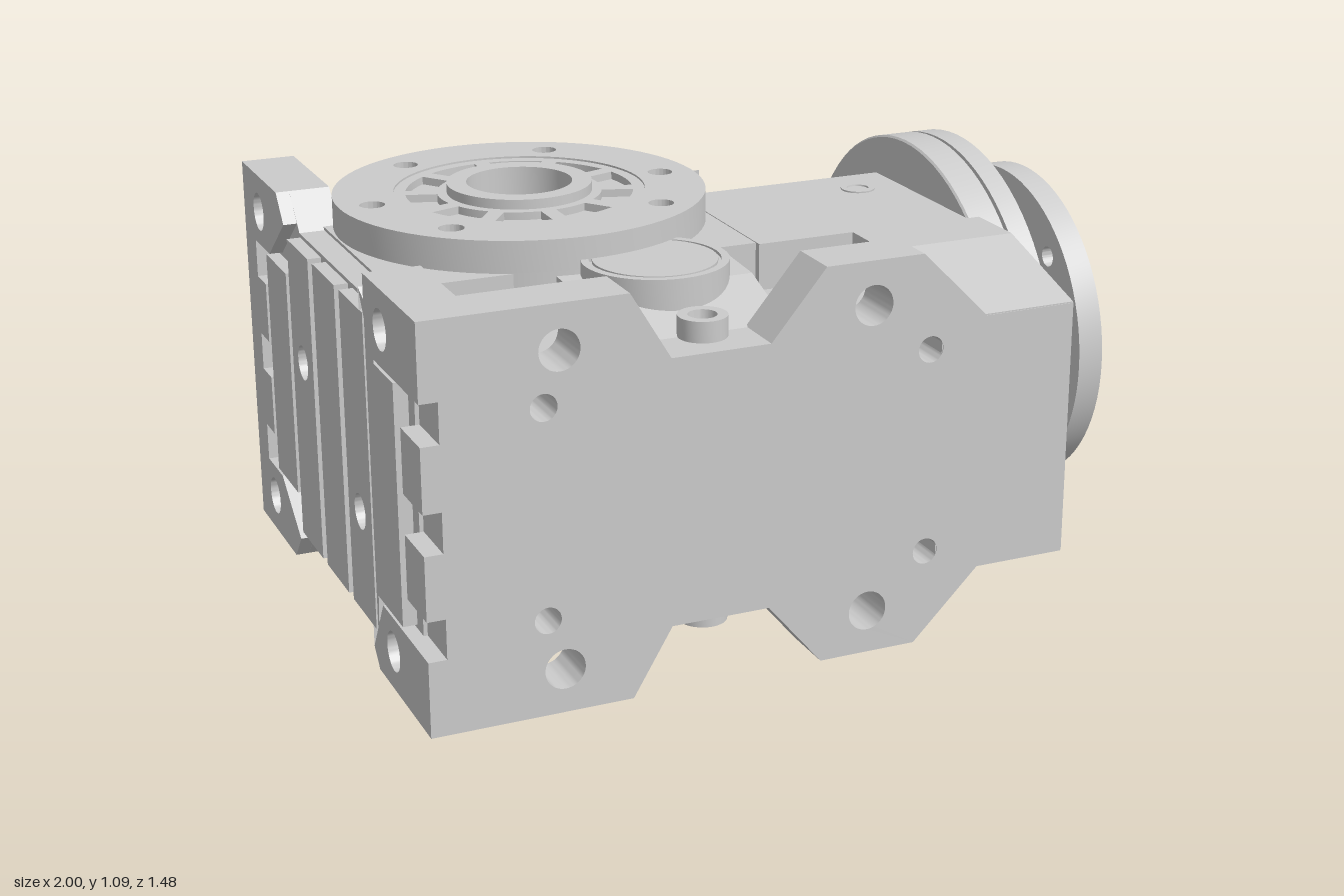
import * as THREE from 'three';
import { toCreasedNormals } from 'three/addons/utils/BufferGeometryUtils.js';

const mat = new THREE.MeshStandardMaterial({ color: 0xcccccc, side: THREE.DoubleSide });
const MID = 0.547; // height of the symmetry plane; all y values below are offsets from it

function add(parent, name, geo, crease = 0.5) {
  const m = new THREE.Mesh(toCreasedNormals(geo, crease), mat);
  m.name = name;
  parent.add(m);
  return m;
}

// close a top half outline with its mirror image below the symmetry plane
const mirrored = (pts) => pts.concat(pts.map(([a, b]) => [a, -b]).reverse());

// prism along an axis; outline is (z,y) for x, (x,z) for y, (x,y) for z; holes are [a, b, radius]
function prism(parent, name, axis, pts, from, to, holes = []) {
  const map = ([a, b]) => axis === 'x' ? [-a, b] : axis === 'y' ? [a, -b] : [a, b];
  const shape = new THREE.Shape(pts.map((p) => new THREE.Vector2(...map(p))));
  for (const h of holes) {
    shape.holes.push(new THREE.Path().absarc(...map(h), h[2], 0, Math.PI * 2));
  }
  const g = new THREE.ExtrudeGeometry(shape, { depth: to - from, bevelEnabled: false, curveSegments: 24 });
  g.translate(0, 0, from);
  if (axis === 'x') g.rotateY(Math.PI / 2);
  if (axis === 'y') g.rotateX(-Math.PI / 2);
  return add(parent, name, g);
}

// mirrored (z,y) half section run along x; the +x end is cut at a slant by skew
function bar(parent, name, half, x0, x1, skew = 0) {
  const ring = mirrored(half), n = ring.length, v = [];
  const a = ring.map(([z, y]) => [x0, y, z]);
  const b = ring.map(([z, y]) => [x1 + skew * (z - ring[0][0]), y, z]);
  for (let j = 0; j < n; j++) {
    const k = (j + 1) % n;
    v.push(...a[j], ...a[k], ...b[k], ...a[j], ...b[k], ...b[j]);
    if (j > 0 && k > 0) v.push(...b[0], ...b[j], ...b[k], ...a[0], ...a[k], ...a[j]);
  }
  const g = new THREE.BufferGeometry();
  g.setAttribute('position', new THREE.Float32BufferAttribute(v, 3));
  g.computeVertexNormals();
  return add(parent, name, g, 0.05);
}

// turned part around local z, profile points are (radius, z)
function turned(parent, name, pts, seg = 80) {
  const g = new THREE.LatheGeometry(pts.map((p) => new THREE.Vector2(...p)), seg);
  g.rotateX(Math.PI / 2);
  return add(parent, name, g);
}

// flat ring around local z with bolt holes [x, y, r]
function ringPlate(parent, name, outer, inner, z0, z1, holes) {
  const s = new THREE.Shape().absarc(0, 0, outer, 0, Math.PI * 2);
  for (const [x, y, r] of [[0, 0, inner], ...holes]) {
    s.holes.push(new THREE.Path().absarc(x, y, r, 0, Math.PI * 2));
  }
  const g = new THREE.ExtrudeGeometry(s, { depth: z1 - z0, bevelEnabled: false, curveSegments: 40 });
  g.translate(0, 0, z0);
  return add(parent, name, g);
}

// holes on a bolt circle, angles in degrees
const polar = (angles, radius, r) => angles.map((d) => {
  const a = d * Math.PI / 180;
  return [radius * Math.cos(a), radius * Math.sin(a), r];
});

// evenly spaced radial bars
function spokes(parent, name, count, r0, r1, width, z0, z1) {
  for (let i = 0; i < count; i++) {
    const g = new THREE.BoxGeometry(r1 - r0, width, z1 - z0);
    g.translate((r0 + r1) / 2, 0, (z0 + z1) / 2);
    g.rotateZ((i + 0.5) * Math.PI * 2 / count);
    add(parent, name, g);
  }
}

// group whose local z points along the given direction
function facing(parent, name, dir, x, y, z) {
  const g = new THREE.Group();
  g.name = name;
  g.position.set(x, y, z);
  if (dir === '+x') g.rotation.y = Math.PI / 2;
  if (dir === '+y') g.rotation.x = -Math.PI / 2;
  if (dir === '-y') g.rotation.x = Math.PI / 2;
  if (dir === '-z') g.rotation.y = Math.PI;
  parent.add(g);
  return g;
}

function socket(parent, dir, x, y, z, r) {
  const g = facing(parent, 'threadedSocket', dir, x, y, z);
  turned(g, 'socketRing', [[r, -0.02], [r, 0.004], [r * 0.65, 0.004], [r * 0.55, -0.02]], 24);
}

export function createModel() {
  const model = new THREE.Group();
  model.name = 'gearbox';
  const body = new THREE.Group();
  body.name = 'body';
  body.position.y = MID;
  model.add(body);

  // housing: bored core, sloping back with slanted end, and faceted input casing
  prism(body, 'housingCore', 'y', [[-0.9, -0.46], [0.05, -0.46], [0.05, 0.25], [-0.9, 0.25]],
    -0.418, 0.418, [[-0.42, -0.19, 0.3]]);
  bar(body, 'housingBack', [[-0.74, 0.3], [-0.45, 0.417]], -0.86, 0.04, 0.545);
  bar(body, 'inputCasing', [[-0.57, 0.18], [-0.36, 0.36], [-0.22, 0.42], [0.27, 0.42]], 0.04, 0.65);

  // front block: low pocket floors, raised saddle between them, sloping end
  bar(body, 'pocketFloor', [[0.24, 0.3], [0.61, 0.3]], -0.9, 0.31);
  bar(body, 'saddle', [[0.24, 0.41], [0.42, 0.4], [0.61, 0.333]], -0.5, -0.05);
  bar(body, 'housingFrontEnd', [[0.2, 0.42], [0.44, 0.42], [0.738, 0.328]], 0.3, 0.66);

  // front foot plate with notches and bolt holes
  const frontHoles = [];
  for (const s of [1, -1]) {
    frontHoles.push([-0.67, 0.39 * s, 0.05], [0.115, 0.39 * s, 0.05],
      [-0.71, 0.26 * s, 0.033], [0.27, 0.26 * s, 0.033]);
  }
  prism(body, 'frontFootPlate', 'z', mirrored([[-0.955, 0.05], [-1, 0.05], [-1, 0.21], [-0.955, 0.21],
    [-0.955, 0.31], [-1, 0.31], [-1, 0.5], [-0.5, 0.5], [-0.4, 0.333], [-0.15, 0.333], [-0.01, 0.5],
    [0.245, 0.5], [0.42, 0.325], [0.66, 0.325]]), 0.6, 0.74, frontHoles);

  // end face: wide corner feet, recessed panel and vertical pads
  const endHoles = [];
  for (const s of [1, -1]) endHoles.push([-0.59, 0.4 * s, 0.05], [0.47, 0.4 * s, 0.05]);
  prism(body, 'endPlate', 'x', mirrored([[-0.74, 0.5], [-0.4, 0.5], [-0.32, 0.41], [0.27, 0.41],
    [0.35, 0.5], [0.6, 0.5]]), -0.965, -0.86, endHoles);
  prism(body, 'backCornerFoot', 'x', mirrored([[-0.74, 0.5], [-0.4, 0.5], [-0.34, 0.43], [-0.5, 0.31],
    [-0.64, 0.31], [-0.64, 0.21], [-0.56, 0.21], [-0.56, 0.05], [-0.64, 0.05]]), -1, -0.965,
    endHoles.filter((h) => h[0] < 0));
  prism(body, 'frontCornerFoot', 'x', mirrored([[0.35, 0.5], [0.6, 0.5], [0.6, 0.31], [0.4, 0.31],
    [0.31, 0.455]]), -1, -0.965, endHoles.filter((h) => h[0] > 0));
  const padHoles = [[-0.22, 0.1, 0.045], [0.24, -0.13, 0.045]];
  for (const z of [-0.44, -0.22, 0.01, 0.24, 0.46]) {
    const top = Math.abs(z) < 0.4 ? 0.4 : 0.3;
    prism(body, 'endPad', 'x', mirrored([[z - 0.095, top], [z + 0.095, top]]), -1, -0.965,
      padHoles.filter((h) => h[0] === z));
  }

  // lifting lug
  prism(body, 'liftingLug', 'y', [[-0.05, -0.5], [0.03, -0.74], [0.28, -0.74], [0.33, -0.72], [0.37, -0.65],
    [0.43, -0.61], [0.63, -0.61], [0.63, -0.4], [0.1, -0.4]], -0.045, 0.045, [[0.235, -0.645, 0.05]]);

  // hollow output hub
  const hub = facing(body, 'outputHub', '+y', -0.42, 0, -0.19);
  const half = [[0.135, 0.52], [0.185, 0.52], [0.185, 0.475], [0.325, 0.475], [0.325, 0.42], [0.475, 0.42]];
  turned(hub, 'hubBarrel', [...half.map(([r, z]) => [r, -z]), ...half.slice().reverse(), [0.135, -0.52]]);

  for (const s of [1, -1]) {
    const dir = s > 0 ? '+y' : '-y';
    // hub face with bolt circle and cells
    const face = facing(body, 'hubFace', dir, -0.42, 0, -0.19);
    ringPlate(face, 'hubRim', 0.475, 0.32, 0.42, 0.5,
      polar([0, 60, 120, 180, 225, 315].map((d) => d * s), 0.39, 0.032));
    ringPlate(face, 'cellRing', 0.21, 0.18, 0.47, 0.495, []);
    ringPlate(face, 'cellOuterRing', 0.322, 0.29, 0.47, 0.495, []);
    spokes(face, 'cellRib', 10, 0.2, 0.3, 0.04, 0.47, 0.495);
    // round cover and oil plug
    const cap = facing(body, 'cover', dir, -0.27, 0, 0.34);
    turned(cap, 'coverDisc', [[0.18, 0.34], [0.18, 0.443], [0.16, 0.443], [0.16, 0.435], [0.152, 0.435],
      [0.152, 0.443], [0, 0.443]], 48);
    const plug = facing(body, 'oilPlug', dir, -0.27, 0, 0.62);
    turned(plug, 'plugBody', [[0.06, 0.3], [0.06, 0.385], [0.035, 0.385], [0.03, 0.34], [0, 0.34]], 32);
    socket(body, dir, 0.5, 0.42 * s, -0.09, 0.045);
    socket(body, '+x', 0.66, 0.28 * s, 0.665, 0.04);
  }
  socket(body, '+x', 0.66, 0, 0.665, 0.035);
  socket(body, '-z', -0.7, 0, -0.74, 0.05);

  // motor flange: large double disc, ribbed neck, small disc
  const input = facing(body, 'inputFlange', '+x', 0, 0, -0.07);
  turned(input, 'largeDisc', [[0, 0.625], [0.54, 0.625], [0.545, 0.63], [0.545, 0.715], [0.525, 0.715],
    [0.525, 0.735], [0, 0.735]]);
  ringPlate(input, 'largeDiscFace', 0.545, 0.1, 0.725, 0.785, polar([0, 90, 180, 270], 0.47, 0.032));
  turned(input, 'neck', [[0.17, 0.78], [0.15, 0.81], [0.15, 0.94]], 48);
  const fin = new THREE.Shape([[0.1, 0.78], [0.33, 0.78], [0.3, 0.94], [0.1, 0.94]]
    .map((p) => new THREE.Vector2(...p)));
  for (let i = 0; i < 4; i++) {
    const g = new THREE.ExtrudeGeometry(fin, { depth: 0.03, bevelEnabled: false });
    g.translate(0, 0, -0.015);
    g.rotateX(Math.PI / 2);
    g.rotateZ(Math.PI / 4 + i * Math.PI / 2);
    add(input, 'neckFin', g);
  }
  ringPlate(input, 'smallDisc', 0.435, 0.285, 0.93, 1, [
    ...polar([45, 135, 225, 315], 0.36, 0.027), ...polar([0, 180], 0.36, 0.019)]);
  turned(input, 'smallDiscCentre', [[0.29, 0.932], [0.29, 0.975], [0.175, 0.975], [0.175, 0.955],
    [0.11, 0.955], [0.11, 0.98], [0.055, 0.98], [0.055, 0.85], [0, 0.85]], 64);
  add(input, 'smallDiscBack', new THREE.RingGeometry(0.14, 0.29, 64).rotateY(Math.PI).translate(0, 0, 0.932));
  spokes(input, 'centreRib', 10, 0.1, 0.18, 0.018, 0.95, 0.972);

  return model;
}
